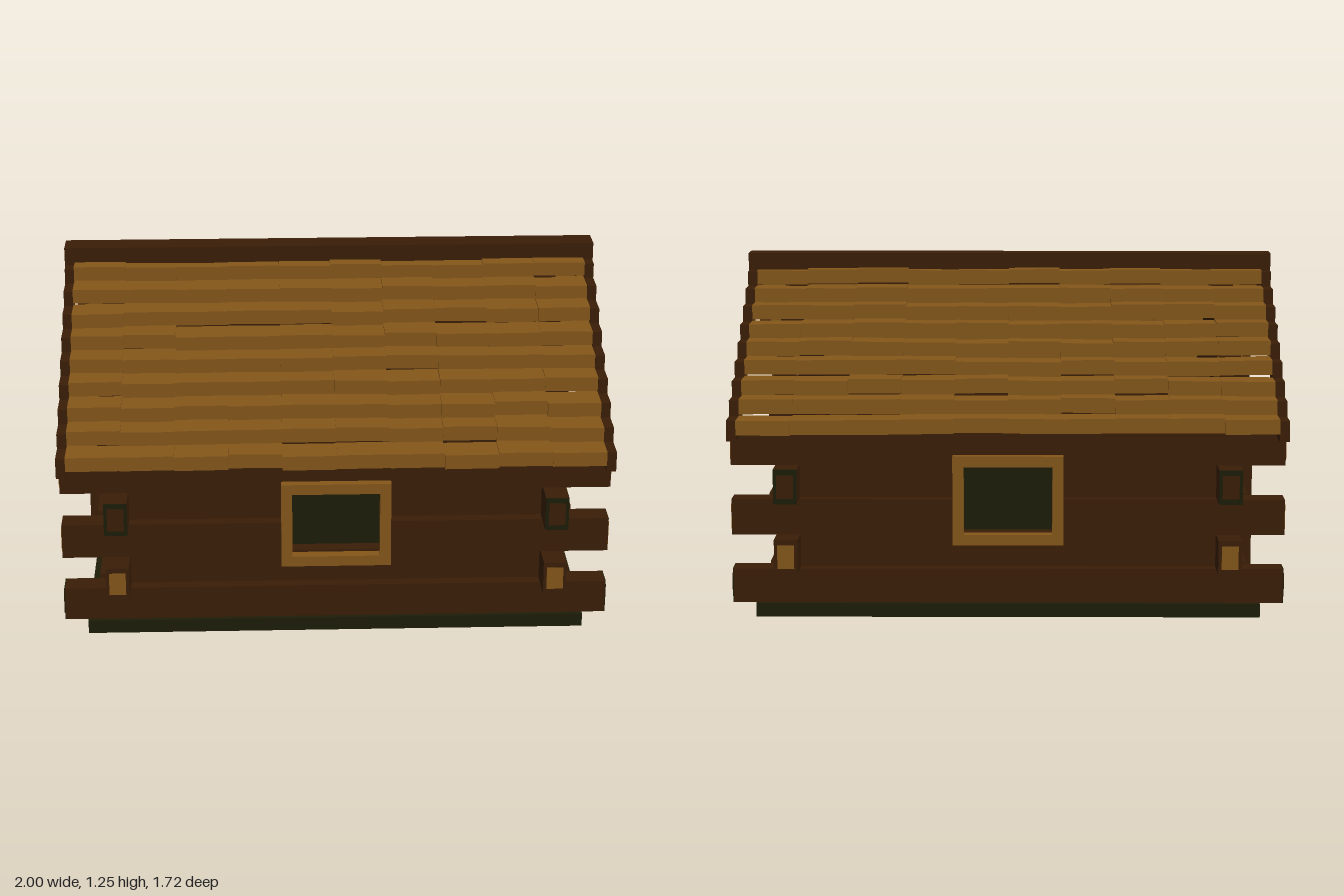
import * as THREE from 'three';

const mat = (name, color) => {
  const m = new THREE.MeshStandardMaterial({ color });
  m.name = name;
  return m;
};

export function createModel() {
  const brown = mat('dark log wood', 0x3a1e07);
  const tan = mat('pale cut wood', 0x84571a);
  const green = mat('dark moss', 0x1d1d08);
  const model = new THREE.Group();
  model.name = 'logCabin';

  // Box given by its lower and upper corners
  const box = (parent, name, material, x0, x1, y0, y1, z0, z1) => {
    const m = new THREE.Mesh(new THREE.BoxGeometry(x1 - x0, y1 - y0, z1 - z0), material);
    m.position.set((x0 + x1) / 2, (y0 + y1) / 2, (z0 + z1) / 2);
    m.name = name;
    parent.add(m);
    return m;
  };
  const group = (name, parent = model) => {
    const g = new THREE.Group();
    g.name = name;
    parent.add(g);
    return g;
  };
  let seed = 7;
  const jitter = (amount) => {
    seed = (seed * 16807) % 2147483647;
    return (seed / 2147483647 * 2 - 1) * amount;
  };

  box(model, 'foundation', green, -0.91, 0.91, 0, 0.05, -0.77, 0.77);

  // Log walls: each log runs along x or z, with an optional opening [from, to]
  const walls = group('logWalls');
  const W = 0.042;
  const log = (axis, offset, half, y0, y1, gap, ends) => {
    const spans = gap ? [[-half, gap[0]], [gap[1], half]] : [[-half, half]];
    const put = (name, m, a, b, y0, y1, w) => axis === 'x'
      ? box(walls, name, m, a, b, y0, y1, offset - w, offset + w)
      : box(walls, name, m, offset - w, offset + w, y0, y1, a, b);
    spans.forEach(([a, b]) => put('log', brown, a, b, y0, y1, W));
    // Rim and core plates on the cut ends
    if (ends) for (const s of [-1, 1]) {
      const cap = (name, m, out, inset) => {
        const p = s * half, q = s * (half + out);
        put(name, m, Math.min(p, q), Math.max(p, q), y0 + inset, y1 - inset, W - inset * 0.6);
      };
      cap('logEndRim', ends[0], 0.003, 0);
      cap('logEndCore', ends[1], 0.006, 0.02);
    }
  };

  const rowY = [0.05, 0.175, 0.3, 0.43, 0.555, 0.68];
  const endStyles = [[green, brown], [brown, tan], [brown, tan], [green, brown], [brown, tan]];
  const windowGap = [-0.17, 0.17], doorGap = [-0.15, 0.15];
  for (let r = 0; r < 5; r++) {
    const y0 = rowY[r], y1 = rowY[r + 1];
    const xLong = r % 2 === 0;
    for (const s of [-1, 1]) {
      const win = r === 2 || r === 3 ? windowGap : null;
      const door = s < 0 && r < 4 ? doorGap : null;
      log('x', s * (xLong ? 0.711 : 0.67), xLong ? 0.992 : 0.752, y0, y1, win, xLong && endStyles[r]);
      log('z', s * (xLong ? 0.828 : 0.793), xLong ? 0.634 : 0.845, y0, y1, door, !xLong && endStyles[r]);
    }
  }

  // Front and back windows
  for (const s of [1, -1]) {
    const w = group(s > 0 ? 'frontWindow' : 'backWindow');
    box(w, 'windowPane', green, -0.17, 0.17, 0.3, 0.555, 0.655, 0.664);
    for (const k of [-1, 1]) {
      const x = k * 0.179;
      box(w, 'windowJamb', tan, x - 0.02, x + 0.02, 0.268, 0.592, 0.745, 0.785);
    }
    box(w, 'windowSill', tan, -0.159, 0.159, 0.268, 0.307, 0.745, 0.785);
    box(w, 'windowHead', tan, -0.159, 0.159, 0.553, 0.592, 0.745, 0.785);
    if (s < 0) w.rotation.y = Math.PI;
  }

  // Door in the right-hand gable wall
  const door = group('door');
  for (let i = 0; i < 4; i++) {
    const z = -0.15 + i * 0.075;
    box(door, 'doorPlank', brown, -0.835 - (i % 2) * 0.008, -0.795, 0.05, 0.555, z, z + 0.075);
  }
  for (const y of [0.14, 0.42]) box(door, 'doorBrace', brown, -0.855, -0.835, y, y + 0.05, -0.13, 0.13);
  box(door, 'doorHandle', brown, -0.875, -0.84, 0.26, 0.34, 0.08, 0.1);
  for (const z of [-0.18, 0.14]) box(door, 'doorJamb', brown, -0.93, -0.863, 0.05, 0.59, z, z + 0.04);
  box(door, 'doorHead', brown, -0.93, -0.863, 0.55, 0.59, -0.14, 0.14);

  // Stepped gables
  const steps = 9, dz = 0.0937, dy = 0.0565;
  const gables = group('gables');
  for (const s of [-1, 1]) for (let i = 0; i < steps; i++) {
    const half = 0.842 - dz * i, top = 0.686 + dy * i;
    const g = box(gables, 'gableStep', brown, -0.04, 0.04, i ? top - dy : 0.68, top, -half, half);
    g.position.x = s * 0.815;
  }

  // Roof: staggered shingles with blocks closing the verges
  const roof = group('roof');
  for (const s of [-1, 1]) {
    const slope = group(s > 0 ? 'frontSlope' : 'backSlope', roof);
    for (let i = 0; i < steps; i++) {
      const z = 0.853 - dz * i, top = 0.738 + dy * i;
      for (let c = 0; c < 10; c++) {
        const x = -0.963 + c * 0.1925;
        const m = box(slope, 'shingle', tan, x, x + 0.1925, top - 0.053, top, z - 0.115, z);
        m.position.y += jitter(0.005);
        m.position.z += jitter(0.009);
        m.rotation.z = jitter(0.012);
      }
      for (const x of [-0.98, 0.98]) {
        box(slope, 'vergeBlock', brown, x - 0.0175, x + 0.0175, top - 0.08, top - 0.006, z - 0.107, z - 0.004);
      }
    }
    if (s < 0) slope.rotation.y = Math.PI;
  }
  box(roof, 'ridgeBeam', brown, -1, 1, 1.13, 1.25, -0.048, 0.048);

  return model;
}
